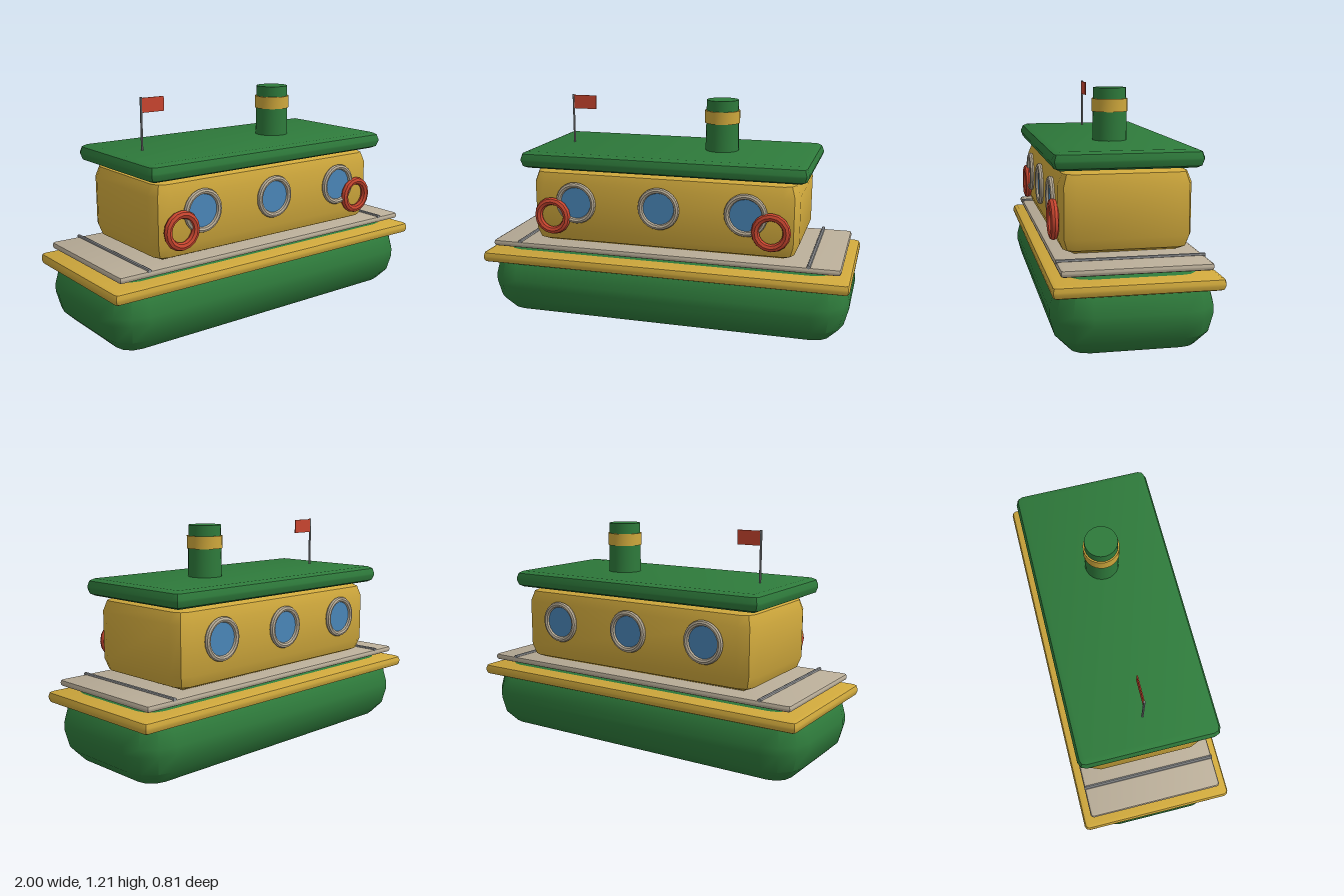
import * as THREE from 'three';
import { toCreasedNormals } from 'three/addons/utils/BufferGeometryUtils.js';

const paint = (name, color) => {
  const m = new THREE.MeshStandardMaterial({ color });
  m.name = name;
  return m;
};

// Smooth shallow edges and keep steep ones sharp (scaled up so small parts keep precision)
function crease(geometry) {
  geometry.scale(100, 100, 100);
  const g = toCreasedNormals(geometry, 0.6);
  return g.scale(0.01, 0.01, 0.01);
}

// Box whose edges and corners are rounded in n steps of 90 / n degrees
function roundedBox(w, h, d, r, n) {
  const core = new THREE.Vector3(w / 2 - r, h / 2 - r, d / 2 - r);
  const points = [], index = [];
  const cols = 4 * (n + 1), rows = 2 * (n + 1);
  for (let i = 0; i < rows; i++) {
    const top = i > n;
    const lat = ((top ? i - 1 : i) / n - 1) * Math.PI / 2;
    for (let j = 0; j < cols; j++) {
      const corner = Math.floor(j / (n + 1));
      const lon = (corner + (j % (n + 1)) / n) * Math.PI / 2;
      const sx = corner === 0 || corner === 3 ? 1 : -1;
      const sz = corner < 2 ? 1 : -1;
      points.push(new THREE.Vector3(
        sx * core.x + r * Math.cos(lat) * Math.cos(lon),
        (top ? 1 : -1) * core.y + r * Math.sin(lat),
        sz * core.z + r * Math.cos(lat) * Math.sin(lon)));
    }
  }
  const same = (a, b) => points[a].distanceTo(points[b]) < 1e-6;
  const tri = (a, b, c) => {
    if (!same(a, b) && !same(b, c) && !same(c, a)) index.push(a, b, c);
  };
  for (let i = 0; i < rows - 1; i++) {
    for (let j = 0; j < cols; j++) {
      const k = (j + 1) % cols;
      const a = i * cols + j, b = i * cols + k;
      tri(a, a + cols, b);
      tri(b, a + cols, b + cols);
    }
  }
  // Flat bottom and top
  const s = n + 1, t = (rows - 1) * cols;
  tri(0, s, 2 * s);
  tri(0, 2 * s, 3 * s);
  tri(t, t + 2 * s, t + s);
  tri(t, t + 3 * s, t + 2 * s);
  const g = new THREE.BufferGeometry().setFromPoints(points);
  g.setIndex(index);
  return crease(g);
}

export function createModel() {
  const green = paint('green', 0x2e7a3b);
  const yellow = paint('yellow', 0xcfa83c);
  const deckGrey = paint('deckGrey', 0xb9ad98);
  const metal = paint('metal', 0x909294);
  const blue = paint('glassBlue', 0x4a86b8);
  const red = paint('red', 0xc8452f);

  const boat = new THREE.Group();
  boat.name = 'houseboat';
  const add = (name, geometry, material, x, y, z) => {
    const mesh = new THREE.Mesh(geometry, material);
    mesh.name = name;
    mesh.position.set(x, y, z);
    boat.add(mesh);
    return mesh;
  };
  // Block given by its bottom and top heights
  const block = (name, material, w, d, y0, y1, r, n) =>
    add(name, roundedBox(w, y1 - y0, d, r, n), material, 0, (y0 + y1) / 2, 0);
  const cylinder = (r0, r1, h, sides) => crease(new THREE.CylinderGeometry(r0, r1, h, sides));

  // Hull, deck and house
  block('hull', green, 1.98, 0.79, 0, 0.4, 0.18, 3);
  block('rubRail', yellow, 2, 0.81, 0.313, 0.375, 0.025, 2);
  block('deck', deckGrey, 1.9, 0.72, 0.4, 0.436, 0.016, 2);
  block('cabin', yellow, 1.45, 0.66, 0.436, 0.85, 0.08, 2);
  block('roof', green, 1.545, 0.735, 0.85, 0.94, 0.04, 2);

  // Bars across both deck ends
  for (const side of [-1, 1]) {
    const bar = add('deckBar', cylinder(0.01, 0.01, 0.72, 8), metal, side * 0.788, 0.437, 0);
    bar.rotation.x = Math.PI / 2;
  }

  // Portholes on both long sides
  const rimGeo = crease(new THREE.TorusGeometry(0.098, 0.015, 8, 24));
  const glassGeo = cylinder(0.097, 0.097, 0.009, 24);
  for (const side of [-1, 1]) {
    for (const x of [-0.46, 0, 0.46]) {
      add('portholeRim', rimGeo, deckGrey, x, 0.675, side * 0.338);
      add('portholeGlass', glassGeo, blue, x, 0.675, side * 0.334).rotation.x = Math.PI / 2;
    }
  }

  // Life rings on the front
  const ringGeo = crease(new THREE.TorusGeometry(0.081, 0.021, 8, 16));
  for (const side of [-1, 1]) add('lifeRing', ringGeo, red, side * 0.592, 0.597, 0.346);

  // Funnel with band
  add('funnel', cylinder(0.085, 0.09, 0.28, 24), green, 0.26, 1.07, 0);
  add('funnelBand', cylinder(0.094, 0.094, 0.066, 24), yellow, 0.26, 1.121, 0);

  // Flag on its pole
  add('flagPole', cylinder(0.006, 0.006, 0.28, 8), metal, -0.594, 1.07, 0);
  add('flag', new THREE.BoxGeometry(0.13, 0.075, 0.006), red, -0.525, 1.168, 0);

  return boat;
}
